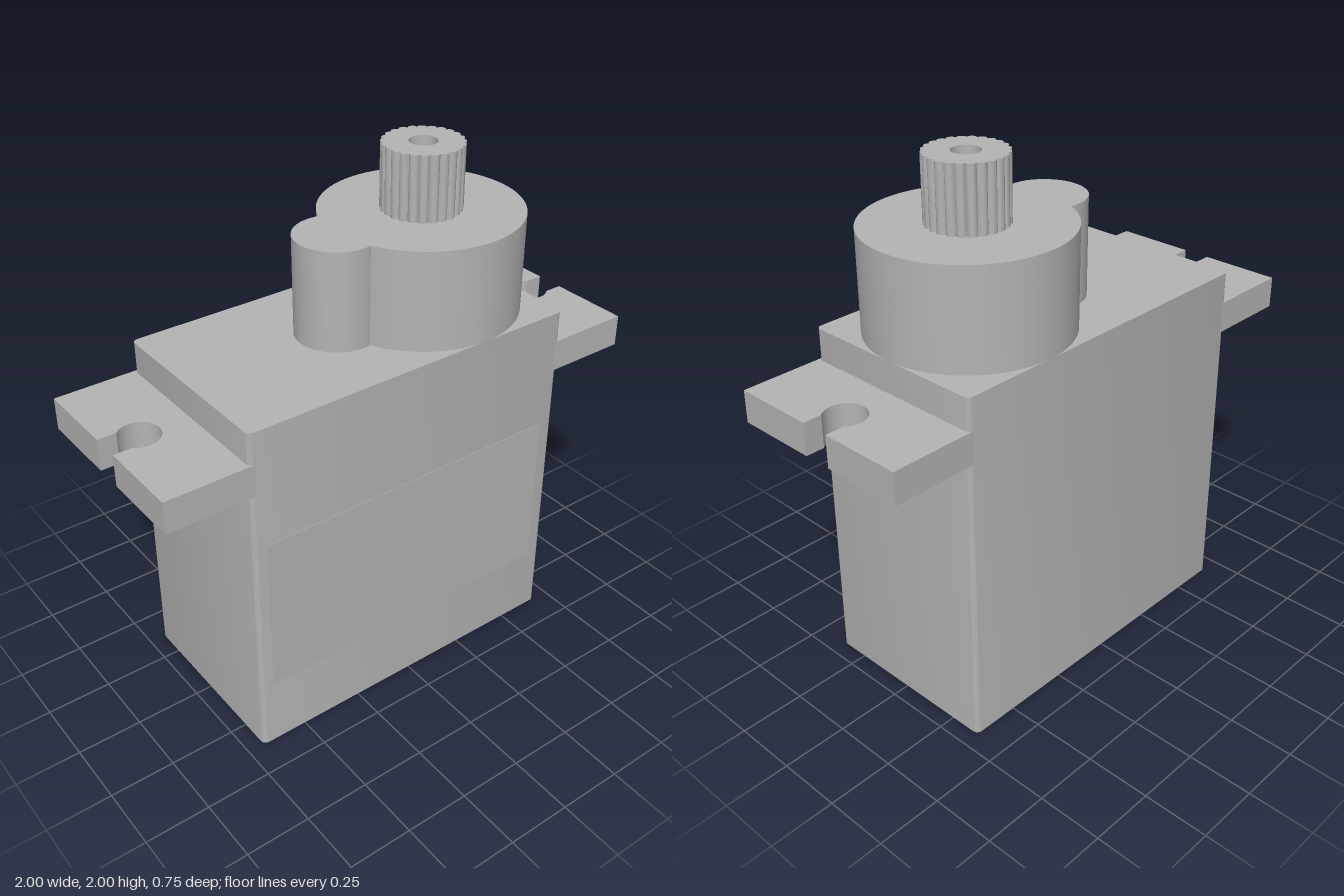
import * as THREE from 'three';
import { toCreasedNormals } from 'three/addons/utils/BufferGeometryUtils.js';

export function createModel() {
  const model = new THREE.Group();
  model.name = 'servoMotor';
  const grey = new THREE.MeshStandardMaterial({ color: 0xb4b4b4 });
  grey.name = 'grey plastic';

  // Extrude a plan outline (x, z) upward from y0 to y1
  function addPrism(name, shape, y0, y1, crease = 0.5, curveSegments = 32) {
    let geometry = new THREE.ExtrudeGeometry(shape, { depth: y1 - y0, bevelEnabled: false, curveSegments });
    geometry.rotateX(-Math.PI / 2);
    geometry.translate(0, y0, 0);
    geometry = toCreasedNormals(geometry, crease);
    const mesh = new THREE.Mesh(geometry, grey);
    mesh.name = name;
    model.add(mesh);
    return mesh;
  }

  // Main case with slightly rounded upright edges
  const w = 0.685, d = 0.375, r = 0.022;
  const body = new THREE.Shape();
  body.absarc(w - r, d - r, r, 0, Math.PI / 2);
  body.absarc(-w + r, d - r, r, Math.PI / 2, Math.PI);
  body.absarc(-w + r, -d + r, r, Math.PI, Math.PI * 1.5);
  body.absarc(w - r, -d + r, r, Math.PI * 1.5, Math.PI * 2);
  body.closePath();
  addPrism('case', body, 0, 1.375, 0.5, 6);

  // Very thin raised panel on the front
  const panel = new THREE.Mesh(new THREE.BoxGeometry(1.25, 0.63, 0.004), grey);
  panel.name = 'frontPanel';
  panel.position.set(-0.005, 0.595, d);
  model.add(panel);

  // Mounting ears with open keyhole slots
  const holeX = 0.875, holeR = 0.077, slot = 0.055;
  const s = Math.asin(slot / holeR);
  const ear = new THREE.Shape();
  ear.moveTo(w - 0.025, -d);
  ear.lineTo(1, -d);
  ear.lineTo(1, -slot);
  ear.absarc(holeX, 0, holeR, -s, s, true);
  ear.lineTo(1, slot);
  ear.lineTo(1, d);
  ear.lineTo(w - 0.025, d);
  ear.closePath();
  addPrism('leftEar', ear, 1.13, 1.253);
  addPrism('rightEar', ear, 1.13, 1.253).rotation.y = Math.PI;

  // Gear housing: large round tower joined to a small one
  const gearX = 0.31, R = 0.375, smallX = -0.065, q = 0.155;
  const gap = gearX - smallX;
  const joint = (R * R + gap * gap - q * q) / (2 * gap);
  const a = Math.PI - Math.acos(joint / R);
  const b = Math.acos((gap - joint) / q);
  const housing = new THREE.Shape();
  housing.absarc(gearX, 0, R, -a, a);
  housing.absarc(smallX, 0, q, b, Math.PI * 2 - b);
  housing.closePath();
  addPrism('gearHousing', housing, 1.375, 1.755, 0.5, 48);

  // Splined output shaft with a screw hole
  const teeth = 24, steps = 6;
  const outline = [];
  for (let i = 0; i < teeth * steps; i++) {
    const t = (i / (teeth * steps)) * Math.PI * 2;
    const radius = 0.137 + 0.013 * Math.sqrt(Math.sin((i % steps) / steps * Math.PI));
    outline.push(new THREE.Vector2(gearX + radius * Math.cos(t), radius * Math.sin(t)));
  }
  const shaft = new THREE.Shape(outline);
  const bore = new THREE.Path();
  bore.absarc(gearX, 0, 0.052, 0, Math.PI * 2, true);
  shaft.holes.push(bore);
  addPrism('outputShaft', shaft, 1.755, 2, 0.6);

  return model;
}
